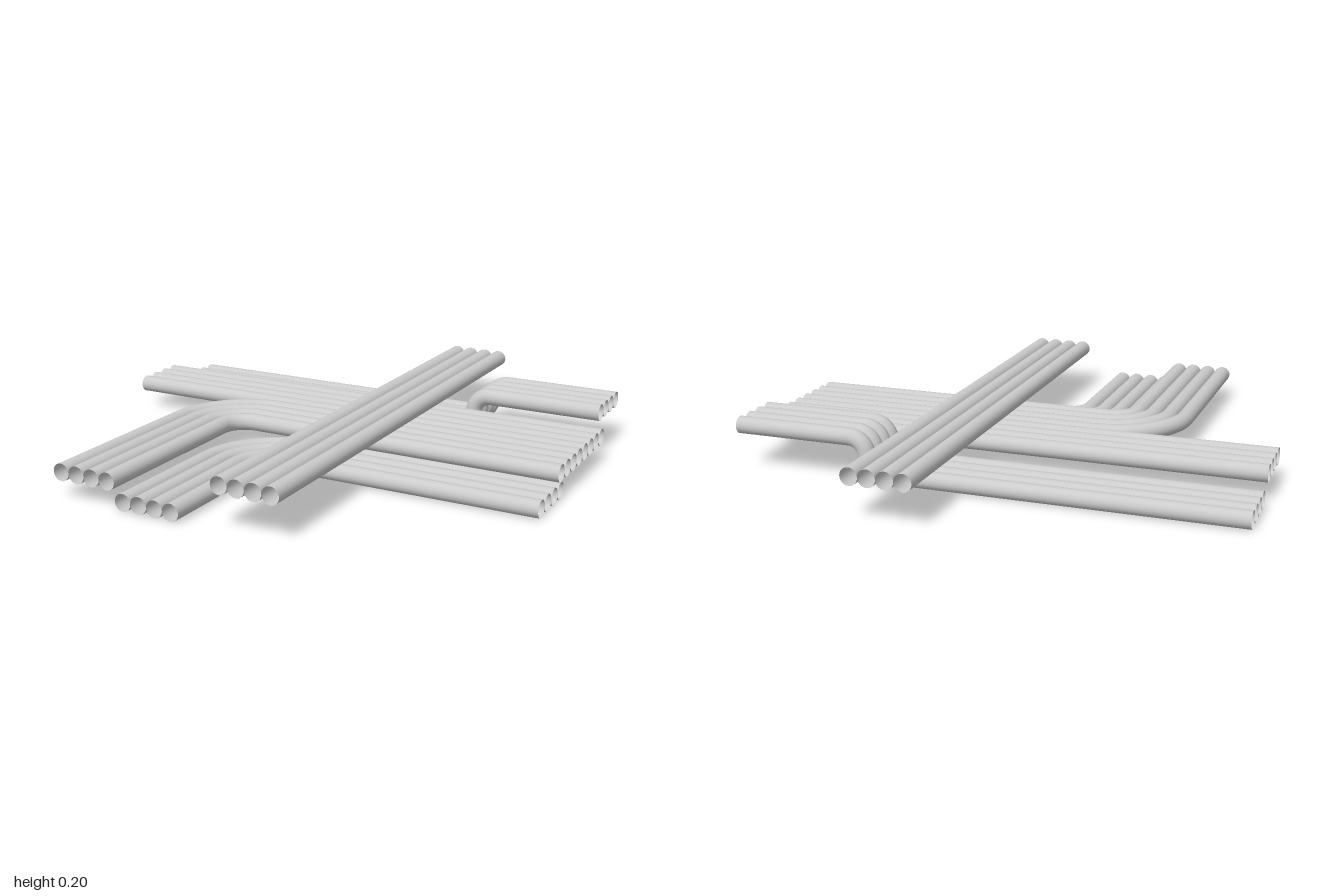
import * as THREE from 'three';

const P = 1 / 15;      // spacing between neighbouring pipes (one diameter)
const R = P / 2;       // pipe radius
const LOW = R, MID = R + P, TOP = R + 2 * P; // three stacked layers
const V = (x, y, z) => new THREE.Vector3(x, y, z);

const material = new THREE.MeshStandardMaterial({ color: 0xcccccc, side: THREE.DoubleSide });

// Polyline with each inner corner rounded to the given radius
function roundedPath(points, radius) {
  const path = new THREE.CurvePath();
  let from = points[0];
  for (let i = 1; i < points.length - 1; i++) {
    const corner = points[i];
    const back = points[i - 1].clone().sub(corner).normalize();
    const ahead = points[i + 1].clone().sub(corner).normalize();
    const start = corner.clone().addScaledVector(back, radius);
    const end = corner.clone().addScaledVector(ahead, radius);
    const k = radius * (1 - 0.5523);
    if (from.distanceTo(start) > 1e-5) path.add(new THREE.LineCurve3(from, start));
    path.add(new THREE.CubicBezierCurve3(start,
      corner.clone().addScaledVector(back, k),
      corner.clone().addScaledVector(ahead, k), end));
    from = end;
  }
  const last = points[points.length - 1];
  if (from.distanceTo(last) > 1e-5) path.add(new THREE.LineCurve3(from, last));
  return path;
}

// Four open pipes side by side; makeGeometry(i) gives pipe number i
function bundle(name, makeGeometry) {
  const group = new THREE.Group();
  group.name = name;
  for (let i = 0; i < 4; i++) {
    const pipe = new THREE.Mesh(makeGeometry(i), material);
    pipe.name = name + 'Pipe' + (i + 1);
    group.add(pipe);
  }
  return group;
}

const straight = () => new THREE.CylinderGeometry(R, R, 2, 24, 1, true);
const bent = (points, radius) =>
  new THREE.TubeGeometry(roundedPath(points, radius), 160, R, 20, false);

// Pipes turning from the left side to the front in concentric bends
function elbow(name, x0, y, z0) {
  return bundle(name, i => {
    const x = x0 + i * P, z = z0 + i * P;
    return bent([V(1, y, z), V(x, y, z), V(x, y, 1)], 4.5 * P - i * P);
  });
}

export function createModel() {
  const model = new THREE.Group();
  model.name = 'pipeBundles';

  // Top layer, front to back
  model.add(bundle('crossing', i =>
    straight().rotateX(Math.PI / 2).translate(0.1 + i * P, TOP, 0)));

  // Middle layer, side to side
  model.add(bundle('straightRun', i =>
    straight().rotateZ(Math.PI / 2).translate(0, MID, -0.3 + i * P)));

  // Elbows in the middle and bottom layers
  model.add(elbow('upperElbow', -0.6 + R, MID, -P + R));
  model.add(elbow('lowerElbow', -5 * P + R, LOW, 2 * P + R));

  // Bottom pipes that pass below the crossing and rise to the top layer
  model.add(bundle('risingRun', i => {
    const z = -0.6 + i * P, x = 0.433;
    return bent([V(-1, LOW, z), V(x, LOW, z), V(x, TOP, z), V(0.963, TOP, z)], P);
  }));

  return model;
}
